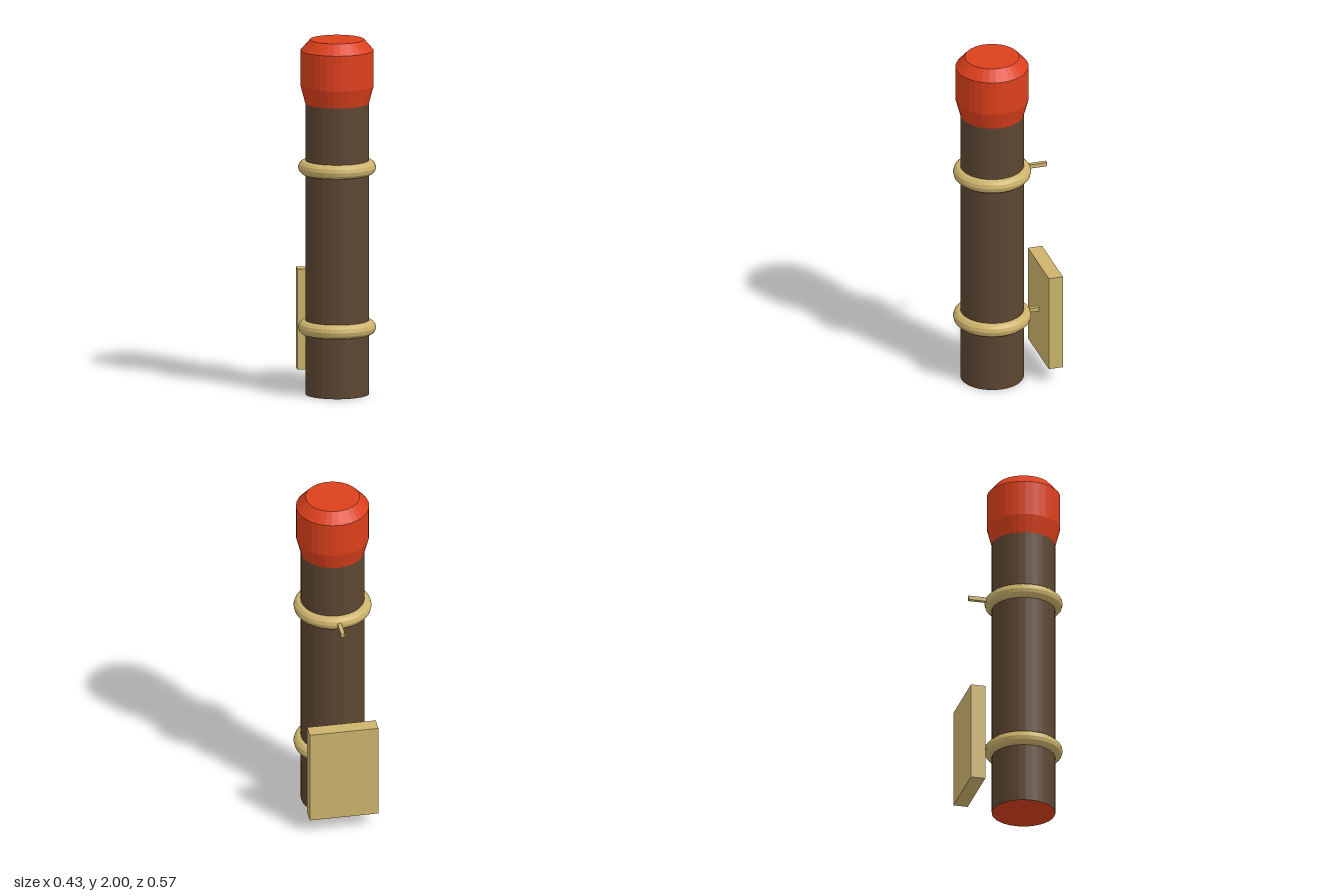
import * as THREE from 'three';

const SIDES = 32;
const AXIS_Z = 0.067; // the tube stands forward of the back plate
const TUBE_R = 0.177;

const paint = (color) => new THREE.MeshStandardMaterial({ color, flatShading: true });

export function createModel() {
  const model = new THREE.Group();
  const brown = paint(0x5c4632);
  const red = paint(0xdc401c);
  const brass = paint(0xcdb46c);

  const add = (name, geometry, material, x, y, z) => {
    const mesh = new THREE.Mesh(geometry, material);
    mesh.name = name;
    mesh.position.set(x, y, z);
    model.add(mesh);
    return mesh;
  };

  // Long tube
  add('tube', new THREE.CylinderGeometry(TUBE_R, TUBE_R, 1.64, SIDES, 1, true), brown, 0, 0.82, AXIS_Z);

  // Red disc closing the foot of the tube
  add('footDisc', new THREE.CircleGeometry(TUBE_R, SIDES).rotateX(Math.PI / 2), red, 0, 0, AXIS_Z);

  // Flared cap with a bevelled, flat top
  const capProfile = [[TUBE_R, 1.64], [0.204, 1.74], [0.204, 1.94], [0.151, 2], [0, 2]]
    .map(([r, y]) => new THREE.Vector2(r, y));
  add('cap', new THREE.LatheGeometry(capProfile, SIDES), red, 0, 0, AXIS_Z);

  // Clamp rings, each with a small rod pointing back
  for (const [place, y] of [['lower', 0.378], ['upper', 1.28]]) {
    const ring = new THREE.TorusGeometry(TUBE_R, 0.04, 12, 48).rotateX(Math.PI / 2);
    add(place + 'Ring', ring, brass, 0, y, AXIS_Z);
    add(place + 'Rod', new THREE.BoxGeometry(0.023, 0.023, 0.13), brass, 0, y, -0.185);
  }

  // Mounting plate
  add('backPlate', new THREE.BoxGeometry(0.388, 0.567, 0.082), brass, 0, 0.377, -0.244);

  return model;
}
